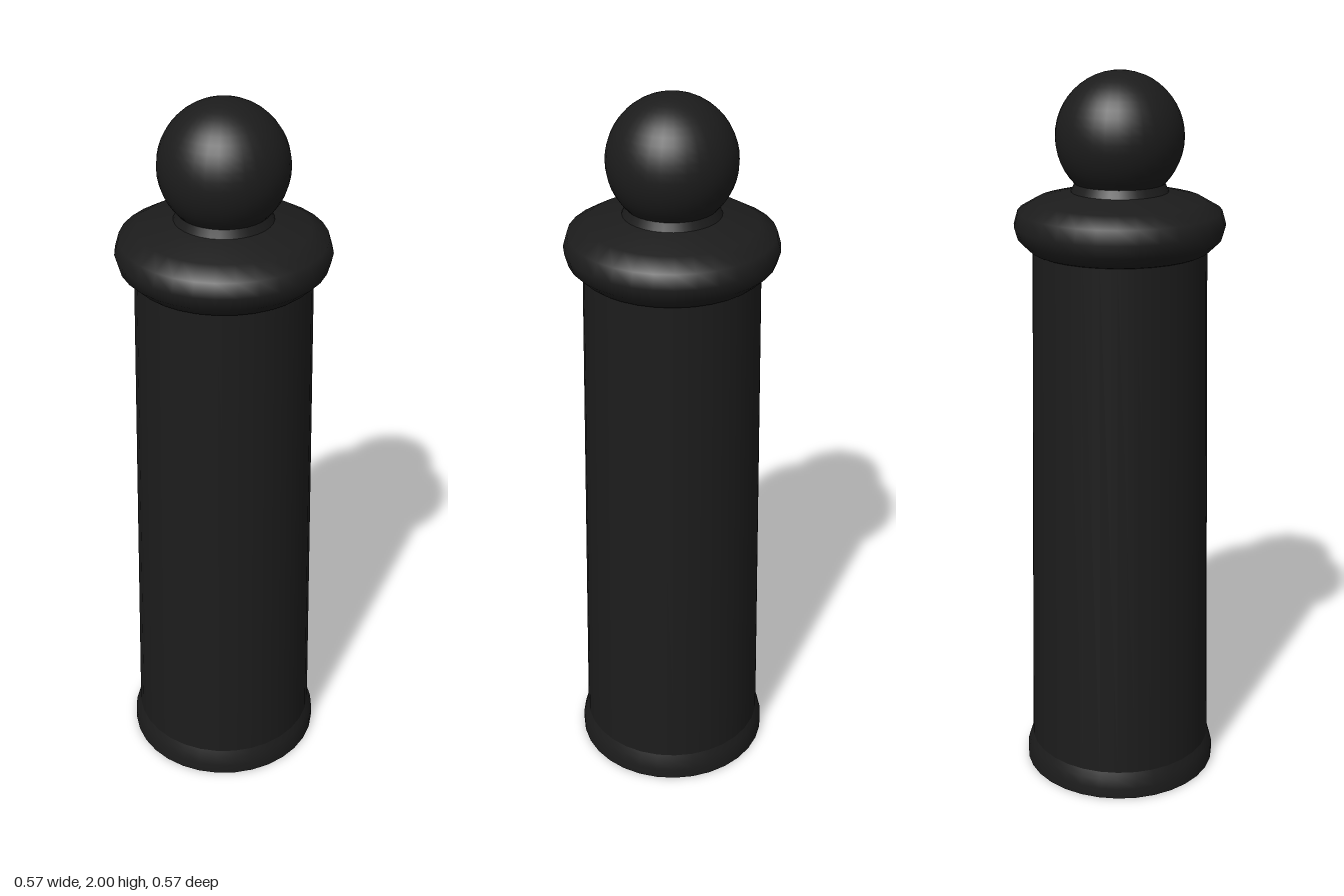
import * as THREE from 'three';

const SEGMENTS = 32;

export function createModel() {
  const group = new THREE.Group();
  const material = new THREE.MeshStandardMaterial({ color: 0x1c1c1c });

  const add = (name, geometry, y = 0) => {
    const mesh = new THREE.Mesh(geometry, material);
    mesh.name = name;
    mesh.position.y = y;
    group.add(mesh);
  };
  // Turned part from [radius, height] pairs, listed bottom to top
  const turned = (profile) =>
    new THREE.LatheGeometry(profile.map(([r, y]) => new THREE.Vector2(r, y)), SEGMENTS);

  // Underside and flared foot
  add('bottomCap', turned([[0, 0], [0.275, 0]]));
  add('foot', turned([[0.275, 0], [0.275, 0.03], [0.268, 0.055], [0.26, 0.075]]));

  // Tapered post
  add('post', turned([[0.26, 0.075], [0.234, 1.535]]));

  // Rounded collar with a sloping top and a short neck
  add('collar', turned([
    [0.23, 1.53], [0.242, 1.535], [0.273, 1.565], [0.283, 1.6],
    [0.272, 1.638], [0.225, 1.665], [0.13, 1.688],
  ]));
  add('neck', turned([[0.13, 1.688], [0.12, 1.71], [0.112, 1.73]]));

  // Ball finial
  add('ball', new THREE.SphereGeometry(0.17, SEGMENTS, 24), 1.83);

  return group;
}
